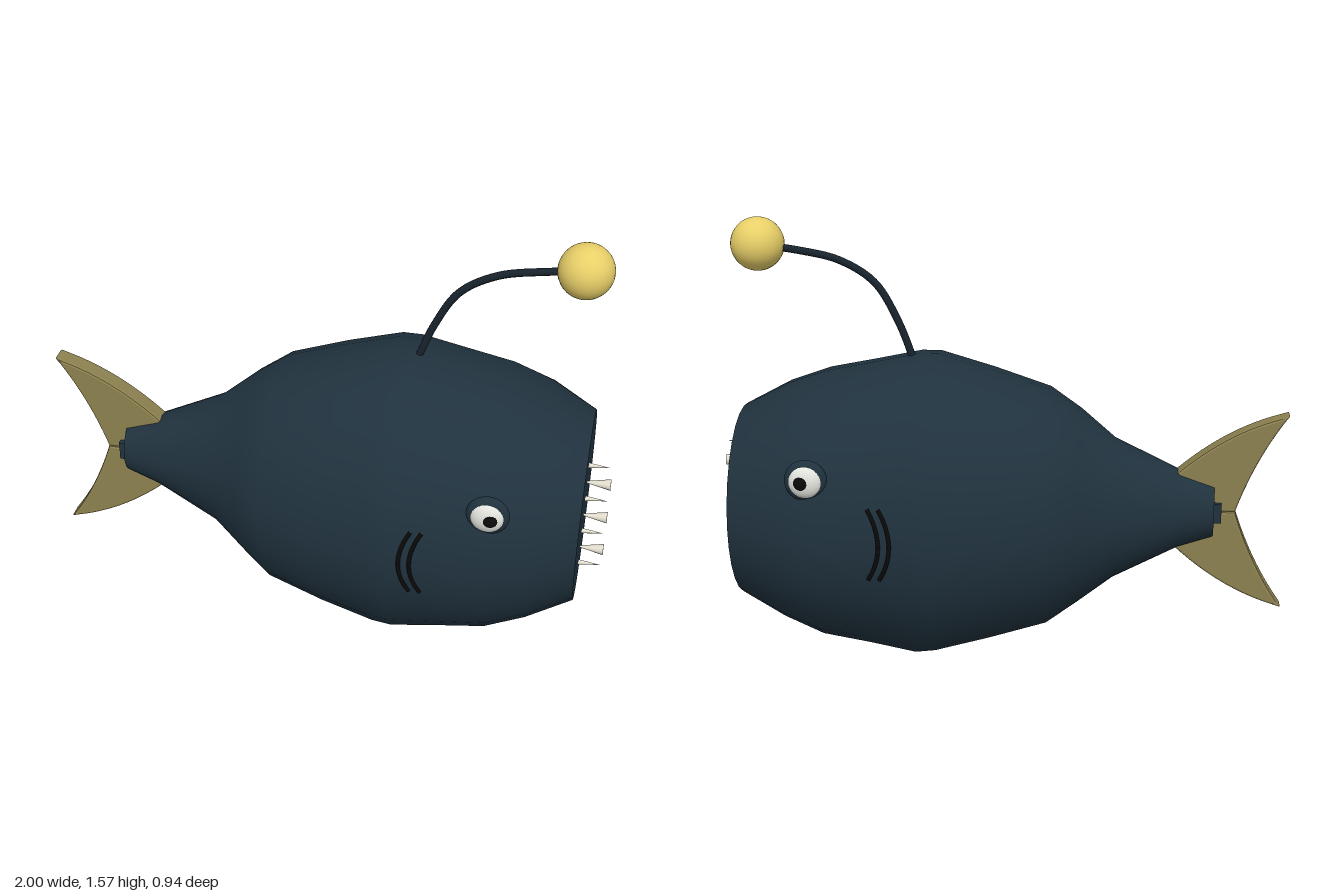
import * as THREE from 'three';

const paint = (color, side = THREE.FrontSide) => new THREE.MeshStandardMaterial({ color, side });
const skin = paint(0x20323e), dark = paint(0x18232d), finMat = paint(0x8c8150);
const gold = paint(0xe8cf68), white = paint(0xe6e6e0), ivory = paint(0xe4dfcf), black = paint(0x0a0a0a);

// Body stations along x: [x, top, bottom, half width]
const STATIONS = [
  [-0.75, 0.66, 0.46, 0.085], [-0.63, 0.70, 0.42, 0.115], [-0.40, 0.81, 0.30, 0.19],
  [-0.28, 0.91, 0.21, 0.29], [-0.17, 0.985, 0.13, 0.37], [0.03, 1.05, 0.07, 0.43],
  [0.22, 1.105, 0.015, 0.463], [0.29, 1.105, 0.006, 0.465], [0.45, 1.07, 0.04, 0.46],
  [0.62, 1.035, 0.07, 0.45], [0.76, 0.985, 0.13, 0.41], [0.918, 0.90, 0.213, 0.325],
];
const SIDES = 28;

function add(parent, name, geometry, material, x = 0, y = 0, z = 0) {
  const mesh = new THREE.Mesh(geometry, material);
  mesh.name = name;
  mesh.position.set(x, y, z);
  parent.add(mesh);
  return mesh;
}

// Half depth of the body at a point of its side
function surfaceZ(x, y) {
  let i = 0;
  while (i < STATIONS.length - 2 && STATIONS[i + 1][0] < x) i++;
  const a = STATIONS[i], b = STATIONS[i + 1], t = (x - a[0]) / (b[0] - a[0]);
  const [, top, bottom, w] = a.map((v, k) => v + (b[k] - v) * t);
  const k = (y - (top + bottom) / 2) / ((top - bottom) / 2);
  return w * Math.sqrt(Math.max(0, 1 - k * k));
}

// Elliptical rings joined along x
function bodyGeometry() {
  const pos = [], idx = [];
  for (const [x, top, bottom, w] of STATIONS)
    for (let j = 0; j < SIDES; j++) {
      const t = (j / SIDES) * Math.PI * 2;
      pos.push(x, (top + bottom) / 2 + Math.cos(t) * (top - bottom) / 2, Math.sin(t) * w);
    }
  for (let i = 0; i < STATIONS.length - 1; i++)
    for (let j = 0; j < SIDES; j++) {
      const a = i * SIDES + j, b = i * SIDES + (j + 1) % SIDES;
      idx.push(a, b, a + SIDES, b, b + SIDES, a + SIDES);
    }
  const g = new THREE.BufferGeometry();
  g.setAttribute('position', new THREE.Float32BufferAttribute(pos, 3));
  g.setIndex(idx);
  g.computeVertexNormals();
  return g;
}

// Flat end of the body at one station
function endCap(parent, name, [x, top, bottom, w], dir) {
  const cap = add(parent, name, new THREE.CircleGeometry(1, SIDES), skin, x, (top + bottom) / 2, 0);
  cap.rotation.y = dir * Math.PI / 2;
  cap.scale.set(w, (top - bottom) / 2, 1);
}

export function createModel() {
  const model = new THREE.Group();
  model.name = 'anglerfish';

  add(model, 'body', bodyGeometry(), skin);
  endCap(model, 'mouth', STATIONS[STATIONS.length - 1], 1);
  endCap(model, 'tailEnd', STATIONS[0], -1);
  add(model, 'tailHub', new THREE.BoxGeometry(0.06, 0.07, 0.11), skin, -0.747, 0.56, 0);

  // Tail fin: two mirrored lobes
  for (const s of [1, -1]) {
    const lobe = new THREE.Shape();
    lobe.moveTo(-0.826, 0);
    lobe.quadraticCurveTo(-0.89, s * 0.2, -1, s * 0.355);
    lobe.quadraticCurveTo(-0.8, s * 0.305, -0.62, s * 0.14);
    lobe.lineTo(-0.64, s * 0.06);
    lobe.lineTo(-0.75, 0);
    const g = new THREE.ExtrudeGeometry(lobe, {
      depth: 0.05, bevelThickness: 0.01, bevelSize: 0.008, bevelOffset: -0.008, bevelSegments: 2, curveSegments: 14,
    });
    add(model, s > 0 ? 'upperTailFin' : 'lowerTailFin', g, finMat, 0, 0.56, -0.025);
  }

  // Lure on its curved stalk
  const stalk = new THREE.CatmullRomCurve3([
    [0.30, 1.06], [0.36, 1.22], [0.44, 1.355], [0.56, 1.43], [0.70, 1.462], [0.84, 1.48],
  ].map(([x, y]) => new THREE.Vector3(x, y, 0)));
  add(model, 'lureStalk', new THREE.TubeGeometry(stalk, 32, 0.013, 10), dark);
  add(model, 'lure', new THREE.SphereGeometry(0.093, 32, 20), gold, 0.843, 1.483, 0);

  for (const s of [1, -1]) {
    // Eye: socket, eyeball and pupil as flattened balls
    const eye = new THREE.Group();
    eye.name = s > 0 ? 'leftEye' : 'rightEye';
    const ball = (name, r, depth, mat, x, z) =>
      add(eye, name, new THREE.SphereGeometry(r, 28, 16), mat, x, 0, s * z).scale.z = depth / r;
    ball('socket', 0.073, 0.03, skin, 0, 0);
    ball('eyeball', 0.06, 0.035, white, 0, 0.005);
    ball('pupil', 0.03, 0.02, black, 0.009, 0.024);
    eye.position.set(0.622, 0.765, s * 0.405);
    model.add(eye);

    // Two curved gill slits following the flank
    for (const x0 of [0.338, 0.375]) {
      const pts = [];
      for (let i = 0; i <= 8; i++) {
        const k = i / 4 - 1, x = x0 + 0.037 * k * k, y = 0.56 + 0.125 * k;
        pts.push(new THREE.Vector3(x, y, s * (surfaceZ(x, y) + 0.001)));
      }
      add(model, 'gillSlit', new THREE.TubeGeometry(new THREE.CatmullRomCurve3(pts), 20, 0.007, 8), black);
    }
  }

  // Teeth: slim ones point outward, thick ones flare outward
  for (let i = 0; i < 7; i++) {
    const thick = i % 2 === 1;
    const g = new THREE.ConeGeometry(thick ? 0.02 : 0.012, 0.1, 12);
    const tooth = add(model, 'tooth', g, ivory, thick ? 0.95 : 0.945, 0.755 - i * 0.071, 0.04);
    tooth.rotation.z = (thick ? 1 : -1) * Math.PI / 2;
  }
  return model;
}
